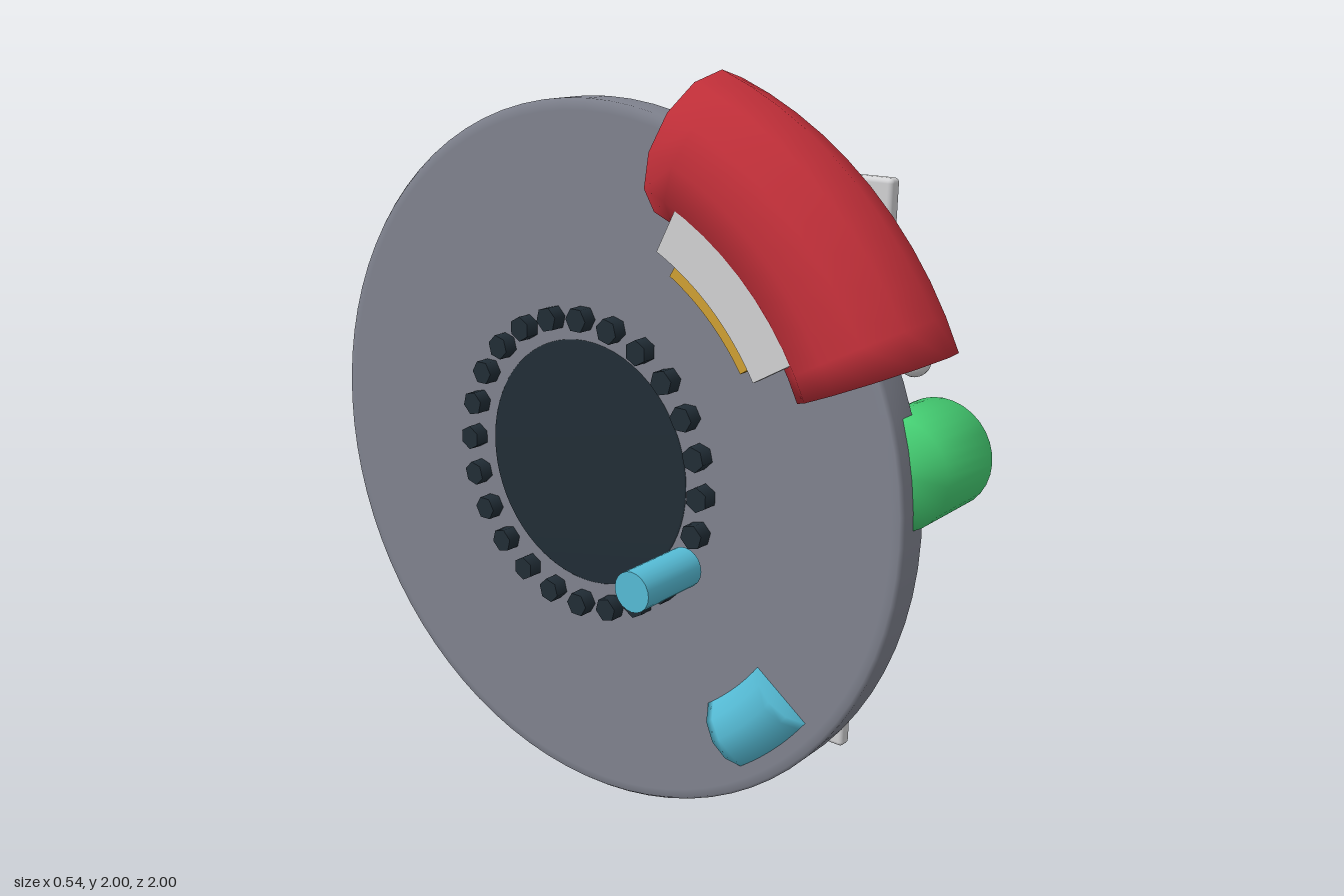
import * as THREE from 'three';
import { mergeGeometries, mergeVertices } from 'three/addons/utils/BufferGeometryUtils.js';
import { RoundedBoxGeometry } from 'three/addons/geometries/RoundedBoxGeometry.js';

const mat = (name, color) => new THREE.MeshStandardMaterial({ name, color });

export function createModel() {
  const steel = mat('disc steel', 0x80838f);
  const red = mat('caliper red', 0xc4303a);
  const green = mat('green', 0x45cf73);
  const blue = mat('light blue', 0x56bcd6);
  const gold = mat('pad gold', 0xd0a033);
  const pale = mat('pale metal', 0xd2d2d4);
  const dark = mat('dark metal', 0x212d36);

  // The wheel is built facing local +z, then turned to face +x.
  const model = new THREE.Group();
  const wheel = new THREE.Group();
  wheel.name = 'brakeAssembly';
  wheel.rotation.y = Math.PI / 2;
  wheel.position.set(0.004, 0.96, -0.04);
  model.add(wheel);

  const add = (name, geometry, material) => {
    const mesh = new THREE.Mesh(geometry, material);
    mesh.name = name;
    wheel.add(mesh);
    return mesh;
  };
  // World z, y, x to wheel coordinates
  const place = (mesh, z, y, x) => mesh.position.set(-(z + 0.036), y - 0.96, x);

  // Smooth solid of revolution about the wheel axis from [radius, height] points
  const turned = (points, sides = 64) => new THREE.LatheGeometry(
    points.map(([r, h]) => new THREE.Vector2(r, h)), sides).rotateX(Math.PI / 2);

  // Share normals across every edge
  const smooth = (geometry) => {
    geometry.deleteAttribute('normal');
    geometry.deleteAttribute('uv');
    const merged = mergeVertices(geometry);
    merged.computeVertexNormals();
    return merged;
  };

  // Capped section of a torus between two angles measured from world +z
  const arcTube = (radius, tube, from, to, sides) => {
    const arc = to - from;
    const cap = (dir) => new THREE.CircleGeometry(tube, sides)
      .rotateX(dir * Math.PI / 2).translate(radius, 0, 0);
    return smooth(mergeGeometries([
      new THREE.TorusGeometry(radius, tube, sides, 10, arc),
      cap(1), cap(-1).rotateZ(arc),
    ])).rotateZ(Math.PI - to);
  };

  // Flat curved block between two radii and two angles
  const arcBlock = (inner, outer, from, to, depth) => {
    const s = new THREE.Shape();
    s.absarc(0, 0, outer, Math.PI - to, Math.PI - from, false);
    s.absarc(0, 0, inner, Math.PI - from, Math.PI - to, true);
    s.closePath();
    return new THREE.ExtrudeGeometry(s, { depth, bevelEnabled: false, curveSegments: 10 });
  };

  // Disc and hub
  add('disc', turned([[0, 0], [0.93, 0], [0.952, 0], [0.96, 0.01], [0.96, 0.09],
    [0.952, 0.1], [0.93, 0.1], [0, 0.1]], 80), steel);
  add('hub', turned([[0, -0.004], [0.335, -0.004], [0.343, 0.004], [0.343, 0.125],
    [0.336, 0.143], [0.318, 0.155], [0, 0.155]]), dark);

  // Raised green ring, half sunk in the disc
  const ring = add('ring', new THREE.TorusGeometry(0.6325, 0.0325, 12, 80).scale(1, 1, 0.5), green);
  ring.position.z = 0.1;

  // Drilled holes in two staggered circles
  for (let i = 0; i < 16; i++) {
    const a = (i * Math.PI) / 8;
    const r = i % 2 ? 0.81 : 0.567;
    const hole = add('drillHole', new THREE.CylinderGeometry(0.036, 0.036, 0.006, 20).rotateX(Math.PI / 2), dark);
    hole.position.set(Math.cos(a) * r, Math.sin(a) * r, 0.1);
  }

  // Slanted slots, in two opposite sets of three
  for (const i of [0, 1, 2, 4, 5, 6]) {
    const slot = new THREE.BoxGeometry(0.326, 0.011, 0.008)
      .rotateZ(-Math.atan2(0.196, 0.26)).translate(-0.13, 0.588, 0.101);
    add('slot', slot.rotateZ((i * Math.PI) / 4), dark);
  }

  // Hex bolts around the back of the hub
  for (let i = 0; i < 24; i++) {
    const a = (i * Math.PI) / 12;
    const bolt = add('hubBolt', new THREE.CylinderGeometry(0.034, 0.034, 0.045, 6).rotateX(Math.PI / 2), dark);
    bolt.position.set(Math.cos(a) * 0.4, Math.sin(a) * 0.4, -0.0185);
    bolt.rotation.z = a;
  }

  // Caliper
  const caliper = add('caliper', arcTube(0.92, 0.191, 0.42, 1.22, 12), red);
  caliper.position.z = 0.05;

  // Brake pads and backing plates on both faces
  for (const side of [1, -1]) {
    const pad = add('brakePad', arcBlock(0.663, 0.9, 0.58, 1.03, 0.085), gold);
    pad.position.z = side > 0 ? 0.101 : -0.086;
    const backing = add('padBacking', arcBlock(0.705, 0.9, 0.53, 1.1, 0.025), pale);
    backing.position.z = side > 0 ? 0.186 : -0.111;
  }

  // Cover plates
  place(add('caliperPlate', new RoundedBoxGeometry(0.356, 0.36, 0.04, 3, 0.012), pale), 0.543, 1.585, 0.233);
  place(add('lowerPlate', new RoundedBoxGeometry(0.262, 0.262, 0.04, 3, 0.012), pale), 0.54, 0.396, 0.235);

  // Round studs by the caliper plate and on the lower plate
  const studs = [[0.279, 1.82], [0.322, 1.757], [0.354, 1.727], [0.365, 1.637],
    [0.804, 1.343], [0.69, 1.437], [0.724, 1.4], [0.61, 1.408]];
  for (const [z, y] of studs) place(add('caliperStud', new THREE.SphereGeometry(0.039, 16, 12), pale), z, y, 0.224);
  for (const [z, y] of [[0.617, 0.486], [0.45, 0.314]])
    place(add('plateStud', new THREE.SphereGeometry(0.031, 16, 12), pale), z, y, 0.232);

  // Green drum at the front edge
  const drum = smooth(new THREE.CylinderGeometry(0.138, 0.138, 0.214, 32)).rotateX(Math.PI / 2);
  place(add('drum', drum, green), 0.866, 1.117, 0.155);

  // Blue clamp over the disc and pin behind it
  const clamp = add('clamp', arcTube(0.805, 0.105, -0.93, -0.63, 12), blue);
  clamp.position.z = 0.05;
  place(add('pin', new THREE.CylinderGeometry(0.053, 0.053, 0.213, 20).rotateX(Math.PI / 2), blue), 0.348, 0.782, -0.167);

  return model;
}
